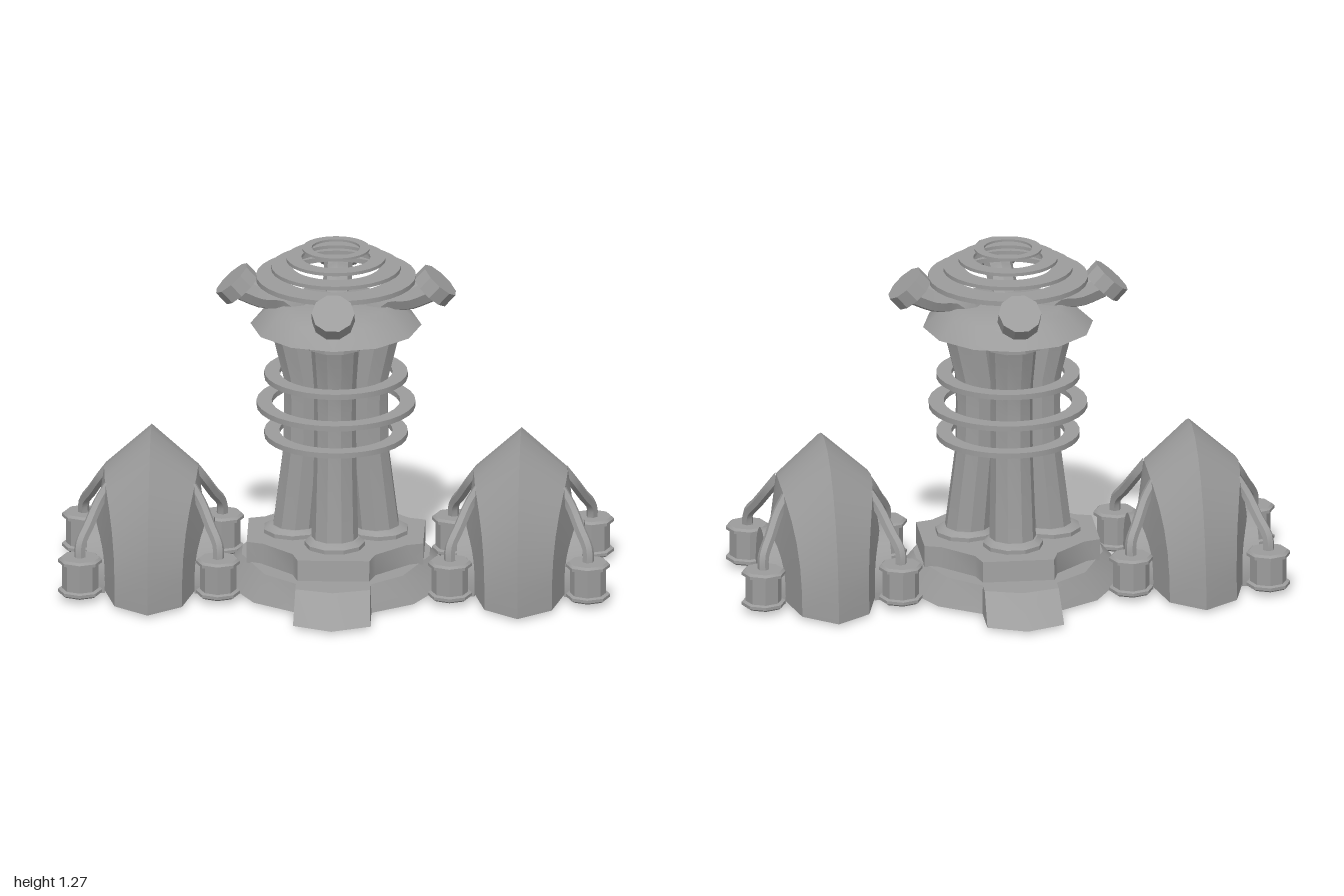
import * as THREE from 'three';
import { toCreasedNormals } from 'three/addons/utils/BufferGeometryUtils.js';

const mat = new THREE.MeshStandardMaterial({ color: 0x9c9c9c });
const shellMat = new THREE.MeshStandardMaterial({ color: 0x9c9c9c, side: THREE.DoubleSide });

// Shallow bends are smooth, sharper ones keep a hard edge
function add(parent, name, geometry, x = 0, y = 0, z = 0, material = mat) {
  const mesh = new THREE.Mesh(toCreasedNormals(geometry, 0.58), material);
  mesh.name = name;
  mesh.position.set(x, y, z);
  parent.add(mesh);
  return mesh;
}

const lathe = (profile, sides) => new THREE.LatheGeometry(profile.map((p) => new THREE.Vector2(...p)), sides);
const curve = (points) => new THREE.CatmullRomCurve3(points.map((p) => new THREE.Vector3(...p)));

// Skin a stack of cross-sections; closed ones run counter-clockwise from above
function loft(rings, closed = true) {
  const pos = [];
  const tri = (...pts) => pts.forEach((p) => pos.push(...p));
  const n = rings[0].length;
  const steps = closed ? n : n - 1;
  for (let i = 0; i < rings.length - 1; i++) {
    for (let j = 0; j < steps; j++) {
      const k = (j + 1) % n;
      const a = rings[i][j], b = rings[i][k], c = rings[i + 1][k], d = rings[i + 1][j];
      tri(a, b, d);
      tri(b, c, d);
    }
  }
  if (closed) {
    const mean = (r) => [0, 1, 2].map((q) => r.reduce((s, p) => s + p[q], 0) / n);
    const lo = rings[0], hi = rings[rings.length - 1], mLo = mean(lo), mHi = mean(hi);
    for (let j = 0; j < n; j++) {
      const k = (j + 1) % n;
      tri(mLo, lo[k], lo[j]);
      tri(mHi, hi[j], hi[k]);
    }
  }
  const g = new THREE.BufferGeometry();
  g.setAttribute('position', new THREE.Float32BufferAttribute(pos, 3));
  g.computeVertexNormals();
  return g;
}

function circle(cx, y, r, sides) {
  return Array.from({ length: sides }, (_, i) => {
    const a = ((i + 0.5) / sides) * Math.PI * 2;
    return [cx + r * Math.cos(a), y, -r * Math.sin(a)];
  });
}

// Mirror one quarter outline (from the front tip round to the left side) into a full one
function mirrored(quarter, y) {
  const front = quarter.map(([x, z]) => [x, y, z]);
  const back = quarter.slice(1).reverse().map(([x, z]) => [x, y, -z]);
  const half = [...front, ...back, [0, y, -quarter[0][1]]];
  const other = half.slice(1, -1).reverse().map(([x, , z]) => [-x, y, z]);
  return [...half, ...other];
}

function flatRing(outer, inner, h) {
  return lathe([[inner, -h / 2], [outer, -h / 2], [outer, h / 2], [inner, h / 2], [inner, -h / 2]], 32);
}

function createTower() {
  const tower = new THREE.Group();
  tower.name = 'tower';

  // Stepped plinth with a sloping prow at front and back
  add(tower, 'plinth', loft([
    mirrored([[0, 0.62], [0.14, 0.56], [0.14, 0.41], [0.29, 0.31], [0.42, 0.06]], 0.01),
    mirrored([[0, 0.47], [0.135, 0.43], [0.135, 0.37], [0.25, 0.27], [0.34, 0.05]], 0.105),
  ]));
  add(tower, 'plinthStep', loft([
    mirrored([[0, 0.34], [0.13, 0.34], [0.15, 0.27], [0.27, 0.15], [0.32, 0.13]], 0.1),
    mirrored([[0, 0.33], [0.13, 0.33], [0.15, 0.26], [0.26, 0.15], [0.32, 0.13]], 0.18),
  ]));

  // Four waisted columns, each with a foot and a collar
  const shaft = [[0.2, 0.147, 0.085], [0.5, 0.117, 0.077], [0.68, 0.115, 0.076], [0.78, 0.117, 0.077], [0.95, 0.148, 0.088]];
  for (let i = 0; i < 4; i++) {
    const column = new THREE.Group();
    column.name = 'column' + (i + 1);
    column.rotation.y = (i * Math.PI) / 2;
    add(column, 'columnShaft', loft(shaft.map(([y, c, r]) => circle(c, y, r, 10))));
    add(column, 'columnFoot', loft([circle(0.155, 0.17, 0.11, 10), circle(0.155, 0.195, 0.11, 10), circle(0.15, 0.21, 0.09, 10)]));
    add(column, 'columnCollar', loft([circle(0.15, 0.945, 0.11, 10), circle(0.15, 0.978, 0.11, 10)]));
    tower.add(column);
  }

  // Rings round the columns
  [[0.558, 0.26], [0.672, 0.288], [0.783, 0.26]].forEach(([y, r]) => add(tower, 'columnRing', flatRing(r, r - 0.055, 0.02), 0, y, 0));

  // Cap
  add(tower, 'cap', lathe([[0, 0.975], [0.31, 0.975], [0.245, 1.035], [0.2, 1.056], [0, 1.058]], 12));

  // Floating rings above the cap
  [[1.154, 0.29, 0.195, 0.018], [1.192, 0.235, 0.16, 0.014], [1.226, 0.18, 0.125, 0.012], [1.264, 0.122, 0.088, 0.008]]
    .forEach(([y, r, inner, h]) => add(tower, 'floatingRing', flatRing(r, inner, h), 0, y, 0));

  // Four bent arms ending in tilted discs
  const armPath = curve([[0.12, 1.0, 0], [0.185, 1.076, 0], [0.26, 1.083, 0], [0.34, 1.115, 0]]);
  for (let i = 0; i < 4; i++) {
    const arm = new THREE.Group();
    arm.name = 'arm' + (i + 1);
    arm.rotation.y = (i * Math.PI) / 2;
    add(arm, 'armTube', new THREE.TubeGeometry(armPath, 10, 0.052, 8));
    add(arm, 'armDisc', new THREE.CylinderGeometry(0.078, 0.078, 0.058, 10), 0.359, 1.125, 0).rotation.z = -0.735;
    tower.add(arm);
  }
  return tower;
}

// Arch from front to back; x moves from xEnd at the feet to xTop at the crown
function arch(zr, top, xEnd, xTop, n = 14) {
  return Array.from({ length: n + 1 }, (_, i) => {
    const a = (i / n) * Math.PI;
    const s = Math.sin(a);
    return [xEnd + (xTop - xEnd) * s ** 3, 0.01 + (top - 0.01) * s, zr * Math.cos(a)];
  });
}

function createPod() {
  const pod = new THREE.Group();
  const pipePoints = [[0.15, 0.385, 0.11], [0.185, 0.33, 0.135], [0.22, 0.26, 0.19], [0.25, 0.2, 0.24], [0.25, 0.14, 0.25]];
  const can = [[0, 0.018], [0.07, 0.018], [0.08, 0.025], [0.08, 0.036], [0.066, 0.04], [0.066, 0.135], [0.08, 0.139], [0.08, 0.15], [0.07, 0.158], [0, 0.158]];
  const halfDisc = new THREE.Shape();
  halfDisc.moveTo(-0.19, 0.015);
  halfDisc.lineTo(0.19, 0.015);
  halfDisc.absellipse(0, 0.03, 0.19, 0.19, 0, Math.PI, false);

  for (const side of [1, -1]) {
    const half = new THREE.Group();
    half.name = side > 0 ? 'podLeftHalf' : 'podRightHalf';
    half.rotation.y = side > 0 ? 0 : Math.PI;
    // Ridged shell, open underneath
    const rings = [arch(0.18, 0.21, 0.165, 0.2), arch(0.365, 0.417, 0.122, 0.17), arch(0.463, 0.562, 0, 0)];
    add(half, 'shell', loft(rings, false), 0, 0, 0, shellMat);
    // Half-round side plate on a thin foot
    const plate = new THREE.ExtrudeGeometry(halfDisc, { depth: 0.07, bevelEnabled: false, curveSegments: 8 });
    plate.rotateY(Math.PI / 2);
    add(half, 'sidePlate', plate, 0.158, 0, 0);
    add(half, 'plateFoot', new THREE.BoxGeometry(0.02, 0.03, 0.38), 0.172, 0.015, 0);
    // Canisters fed by bent pipes
    for (const z of [1, -1]) {
      const feed = new THREE.Group();
      feed.name = z > 0 ? 'frontCanister' : 'rearCanister';
      const path = curve(pipePoints.map((p) => [p[0], p[1], p[2] * z]));
      add(feed, 'pipe', new THREE.TubeGeometry(path, 14, 0.021, 6));
      add(feed, 'canister', lathe(can, 8), 0.25, 0, 0.25 * z);
      half.add(feed);
    }
    pod.add(half);
  }
  return pod;
}

export function createModel() {
  const model = new THREE.Group();
  model.name = 'ringedTowerWithPods';
  model.add(createTower());
  for (const side of [1, -1]) {
    const pod = createPod();
    pod.name = side > 0 ? 'leftPod' : 'rightPod';
    pod.position.x = 0.67 * side;
    model.add(pod);
  }
  return model;
}
